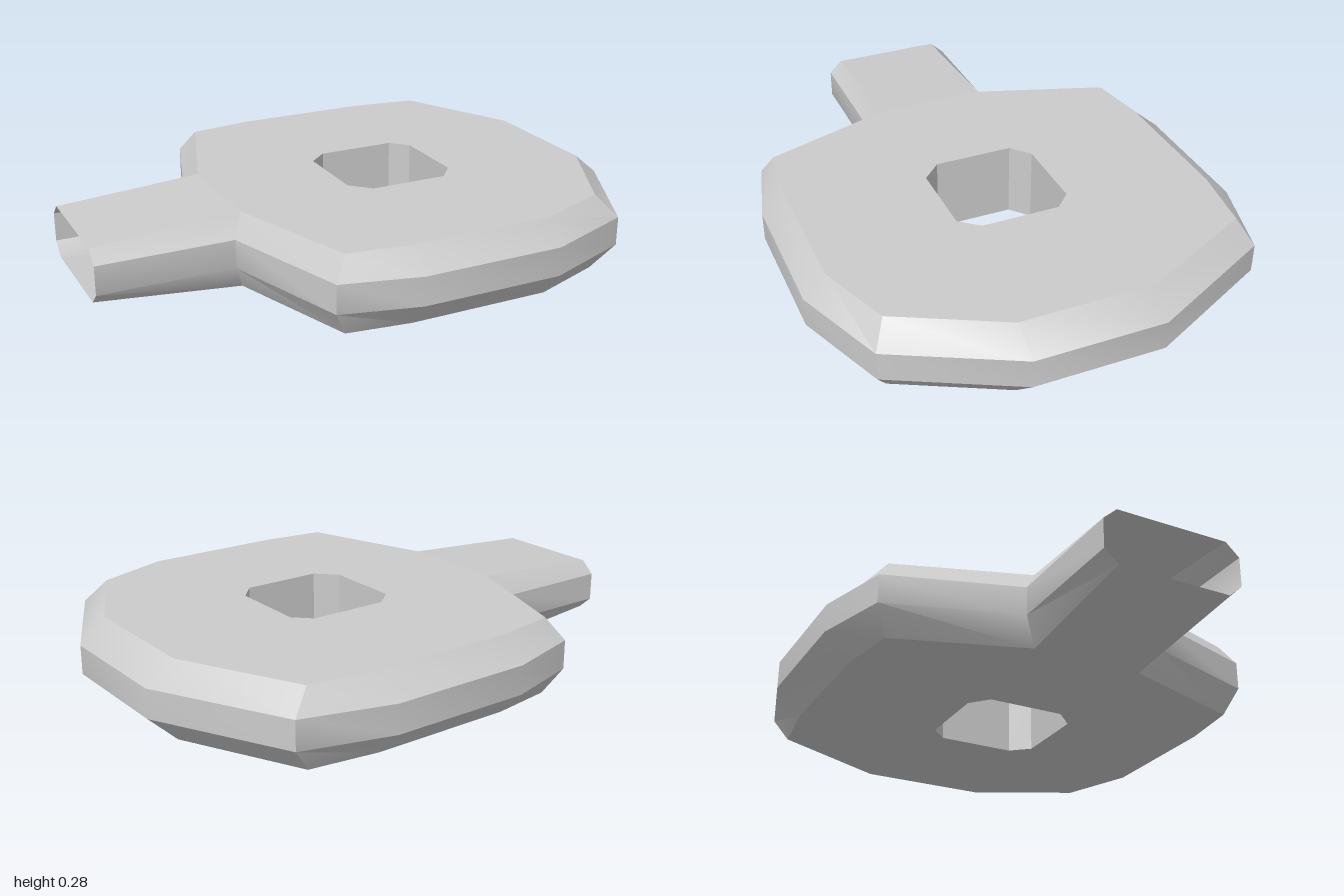
import * as THREE from 'three';
import { toCreasedNormals } from 'three/addons/utils/BufferGeometryUtils.js';

// Plan outlines as [x, z], from the back of the neck round to its front.
const widest = [[-0.51, -0.25], [-0.36, -0.72], [-0.08, -0.8], [0.44, -0.8], [0.76, -0.71], [1, -0.23],
  [1, 0.24], [0.78, 0.67], [0.44, 0.8], [-0.08, 0.8], [-0.36, 0.73], [-0.51, 0.26]];
const inset = [[-0.47, -0.2], [-0.31, -0.67], [-0.08, -0.705], [0.44, -0.705], [0.69, -0.67], [0.9, -0.24],
  [0.9, 0.25], [0.71, 0.62], [0.44, 0.72], [-0.08, 0.72], [-0.31, 0.69], [-0.47, 0.21]];
const hole = [[-0.03, -0.14], [0.04, -0.2], [0.33, -0.2], [0.39, -0.14],
  [0.39, 0.15], [0.33, 0.22], [0.04, 0.22], [-0.03, 0.15]];
const TOP = 0.28;

const lift = (outline, y) => outline.map(([x, z]) => [x, y, z]);

function quad(out, a, b, c, d) {
  out.push(...a, ...b, ...c, ...a, ...c, ...d);
}

// Flat face with the hole cut out, facing up or down.
function cap(out, y, up) {
  const toV2 = ([x, z]) => new THREE.Vector2(x, z);
  const points = lift([...inset, ...hole], y);
  for (const face of THREE.ShapeUtils.triangulateShape(inset.map(toV2), [hole.map(toV2)])) {
    const [a, b, c] = face.map((i) => points[i]);
    const facesUp = (b[2] - a[2]) * (c[0] - a[0]) - (b[0] - a[0]) * (c[2] - a[2]) > 0;
    out.push(...a, ...(facesUp === up ? [...b, ...c] : [...c, ...b]));
  }
}

function makeMesh(name, positions, material) {
  const geometry = new THREE.BufferGeometry();
  geometry.setAttribute('position', new THREE.Float32BufferAttribute(positions, 3));
  const mesh = new THREE.Mesh(toCreasedNormals(geometry, THREE.MathUtils.degToRad(30)), material);
  mesh.name = name;
  return mesh;
}

export function createModel() {
  const group = new THREE.Group();
  group.name = 'bevelledPlateWithHandle';
  const material = new THREE.MeshStandardMaterial({ color: 0xcccccc, side: THREE.DoubleSide });

  // Plate: bevelled rim in three bands, closed above and below
  const plate = [];
  const rings = [lift(inset, 0), lift(widest, 0.095), lift(widest, 0.2), lift(inset, TOP)];
  for (let r = 0; r < 3; r++) {
    for (let i = 0; i < widest.length - 1; i++) {
      quad(plate, rings[r][i], rings[r + 1][i], rings[r + 1][i + 1], rings[r][i + 1]);
    }
  }
  cap(plate, TOP, true);
  cap(plate, 0, false);
  group.add(makeMesh('plate', plate, material));

  // Handle: eight-sided sleeve tapering to an open end
  const root = [...rings.map((ring) => ring[0]), ...rings.map((ring) => ring[11]).reverse()];
  const tipHeights = [0.05, 0.095, 0.2, 0.245, 0.245, 0.2, 0.095, 0.05];
  const tip = root.map((p, i) => [-1, tipHeights[i], p[2]]);
  const handle = [];
  for (let i = 0; i < 8; i++) {
    const j = (i + 1) % 8;
    quad(handle, tip[i], tip[j], root[j], root[i]);
  }
  group.add(makeMesh('handle', handle, material));

  // Inner wall of the square hole with cut corners
  const bore = [];
  const low = lift(hole, 0);
  const high = lift(hole, TOP);
  for (let i = 0; i < hole.length; i++) {
    const j = (i + 1) % hole.length;
    quad(bore, low[i], low[j], high[j], high[i]);
  }
  group.add(makeMesh('holeWall', bore, material));

  return group;
}
